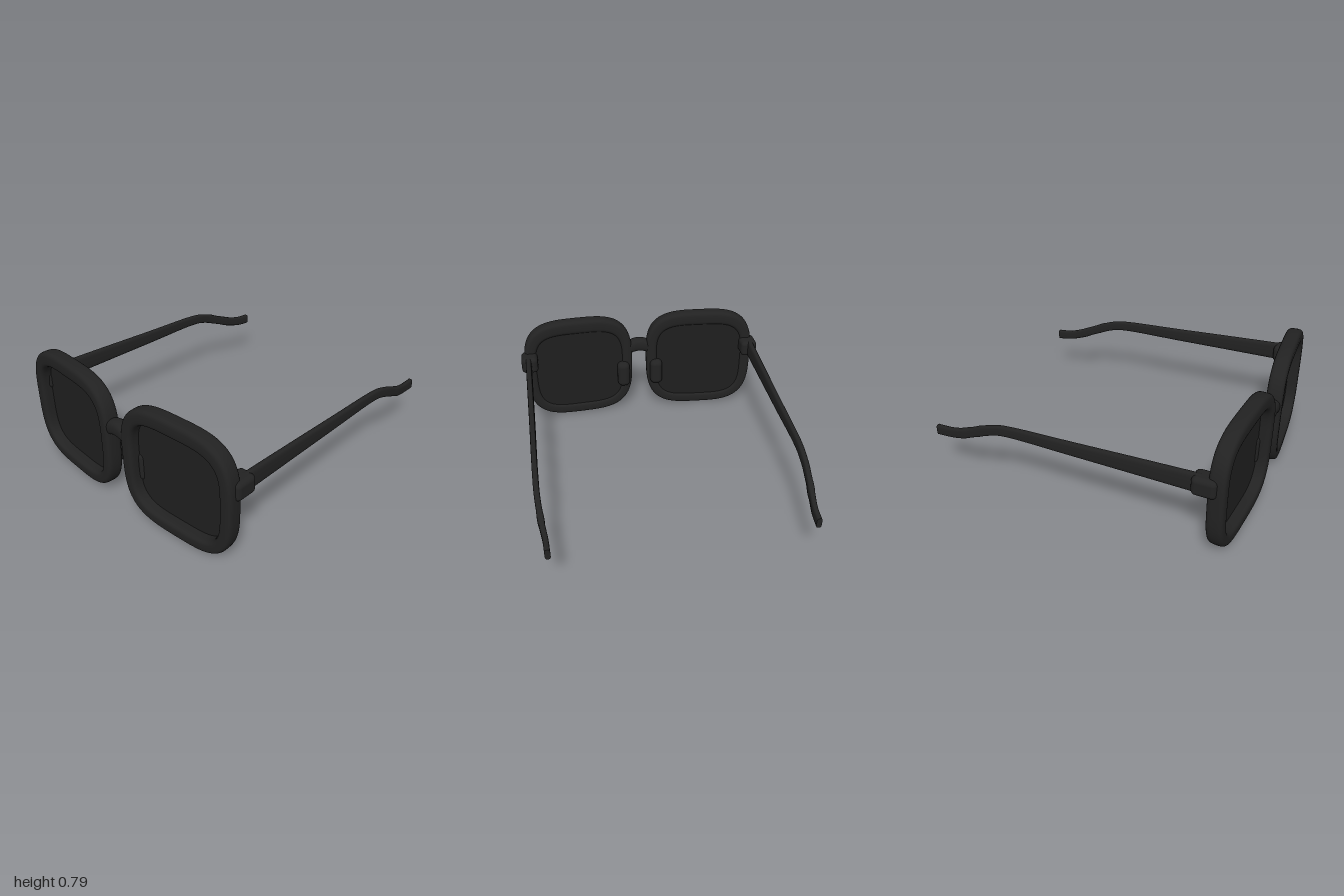
import * as THREE from 'three';
import { RoundedBoxGeometry } from 'three/addons/geometries/RoundedBoxGeometry.js';

// Point on a superellipse with half sizes a, b and squareness n
function superPoint(angle, a, b, n) {
  const c = Math.cos(angle), s = Math.sin(angle);
  return [
    a * Math.sign(c) * Math.abs(c) ** (2 / n),
    b * Math.sign(s) * Math.abs(s) ** (2 / n),
  ];
}

// Smooth skin over rings of points; optionally joined end to start, or capped at the end
function loft(rings, { closed = false, cap = false } = {}) {
  const m = rings[0].length, n = rings.length;
  const pos = [], idx = [];
  for (const ring of rings) for (const p of ring) pos.push(...p);
  for (let i = 0; i < (closed ? n : n - 1); i++) {
    for (let j = 0; j < m; j++) {
      const k = (j + 1) % m, r = i * m, q = ((i + 1) % n) * m;
      idx.push(r + j, r + k, q + k, r + j, q + k, q + j);
    }
  }
  if (cap) {
    const base = pos.length / 3, last = rings[n - 1];
    for (const p of last) pos.push(...p);
    pos.push(...[0, 1, 2].map((a) => last.reduce((sum, p) => sum + p[a], 0) / m));
    for (let j = 0; j < m; j++) idx.push(base + m, base + j, base + ((j + 1) % m));
  }
  const g = new THREE.BufferGeometry();
  g.setAttribute('position', new THREE.Float32BufferAttribute(pos, 3));
  g.setIndex(idx);
  g.computeVertexNormals();
  return g;
}

// Rim outlines, slightly narrower towards the bottom
const outer = (t) => {
  const [x, y] = superPoint(t, 0.41, 0.395, 3.3);
  return [x * (1 + 0.03 * y), y];
};
const inner = (t) => {
  const [x, y] = superPoint(t, 0.325, 0.3, 4);
  return [x * (1 + 0.03 * y), y - 0.01];
};

// Rounded-section ring between the inner and outer outlines
function rimGeometry() {
  const rings = [];
  for (let i = 0; i < 96; i++) {
    const t = (i / 96) * Math.PI * 2;
    const o = outer(t), n = inner(t), ring = [];
    for (let j = 0; j < 28; j++) {
      const [w, u] = superPoint((j / 28) * Math.PI * 2, 0.052, 0.5, 3.4);
      const f = u + 0.5;
      ring.push([n[0] + (o[0] - n[0]) * f, n[1] + (o[1] - n[1]) * f, w]);
    }
    rings.push(ring);
  }
  return loft(rings, { closed: true });
}

// Flat pane reaching a little into the rim
function lensGeometry() {
  const pts = [];
  for (let i = 0; i < 96; i++) {
    const [x, y] = inner((i / 96) * Math.PI * 2);
    pts.push(new THREE.Vector2(x * 1.06, y * 1.06));
  }
  const g = new THREE.ExtrudeGeometry(new THREE.Shape(pts), { depth: 0.02, bevelEnabled: false });
  return g.translate(0, 0, -0.038);
}

// Tapered arm: x, centre y, z, width, height along its length
const armRows = [
  [0.842, 0.516, 0.8, 0.042, 0.122],
  [0.835, 0.506, 0.4, 0.04, 0.105],
  [0.828, 0.495, 0, 0.038, 0.087],
  [0.822, 0.485, -0.4, 0.036, 0.07],
  [0.82, 0.473, -0.5, 0.036, 0.068],
  [0.818, 0.441, -0.6, 0.036, 0.069],
  [0.811, 0.398, -0.7, 0.036, 0.069],
  [0.8, 0.356, -0.8, 0.036, 0.069],
  [0.785, 0.329, -0.9, 0.034, 0.068],
  [0.778, 0.319, -1, 0.034, 0.07],
];
function templeGeometry(side) {
  const path = new THREE.CatmullRomCurve3(armRows.map((r) => new THREE.Vector3(side * r[0], r[1], r[2])));
  const size = new THREE.CatmullRomCurve3(armRows.map((r) => new THREE.Vector3(r[3], r[4], 0)));
  const rings = [];
  for (let i = 0; i <= 54; i++) {
    const p = path.getPoint(i / 54), s = size.getPoint(i / 54), ring = [];
    for (let j = 0; j < 20; j++) {
      const [x, y] = superPoint((j / 20) * Math.PI * 2, s.x / 2, s.y / 2, 3.6);
      ring.push([p.x + x, p.y - y, p.z]);
    }
    rings.push(ring);
  }
  return loft(rings, { cap: true });
}

// Short arched bar between the rims
function bridgeGeometry() {
  const rings = [];
  for (let i = 0; i <= 16; i++) {
    const x = -0.1 + (i / 16) * 0.2, ring = [];
    for (let j = 0; j < 24; j++) {
      const [y, z] = superPoint((j / 24) * Math.PI * 2, 0.051, 0.045, 2.6);
      ring.push([x, 0.538 + y - 3.5 * x * x, 0.942 + z]);
    }
    rings.push(ring);
  }
  return loft(rings);
}

export function createModel() {
  const frameMat = new THREE.MeshStandardMaterial({ color: 0x222222 });
  frameMat.name = 'frame black';
  const lensMat = new THREE.MeshStandardMaterial({ color: 0x1f1f1f });
  lensMat.name = 'lens black';

  const model = new THREE.Group();
  model.name = 'glasses';
  const add = (name, geometry, material, x = 0, y = 0, z = 0, turn = 0) => {
    const mesh = new THREE.Mesh(geometry, material);
    mesh.name = name;
    mesh.position.set(x, y, z);
    mesh.rotation.y = turn;
    model.add(mesh);
  };

  const rim = rimGeometry(), lens = lensGeometry();
  const hinge = new RoundedBoxGeometry(0.118, 0.118, 0.147, 5, 0.03);
  const pad = new RoundedBoxGeometry(0.094, 0.2, 0.094, 6, 0.038);

  for (const [side, label] of [[1, 'left'], [-1, 'right']]) {
    add(label + 'Rim', rim, frameMat, side * 0.465, 0.4, 0.918, side * 0.066);
    add(label + 'Lens', lens, lensMat, side * 0.465, 0.4, 0.918, side * 0.066);
    add(label + 'Hinge', hinge, frameMat, side * 0.834, 0.515, 0.826);
    add(label + 'NosePad', pad, frameMat, side * 0.128, 0.32, 0.887);
    add(label + 'Temple', templeGeometry(side), frameMat);
  }
  add('bridge', bridgeGeometry(), frameMat);
  return model;
}
